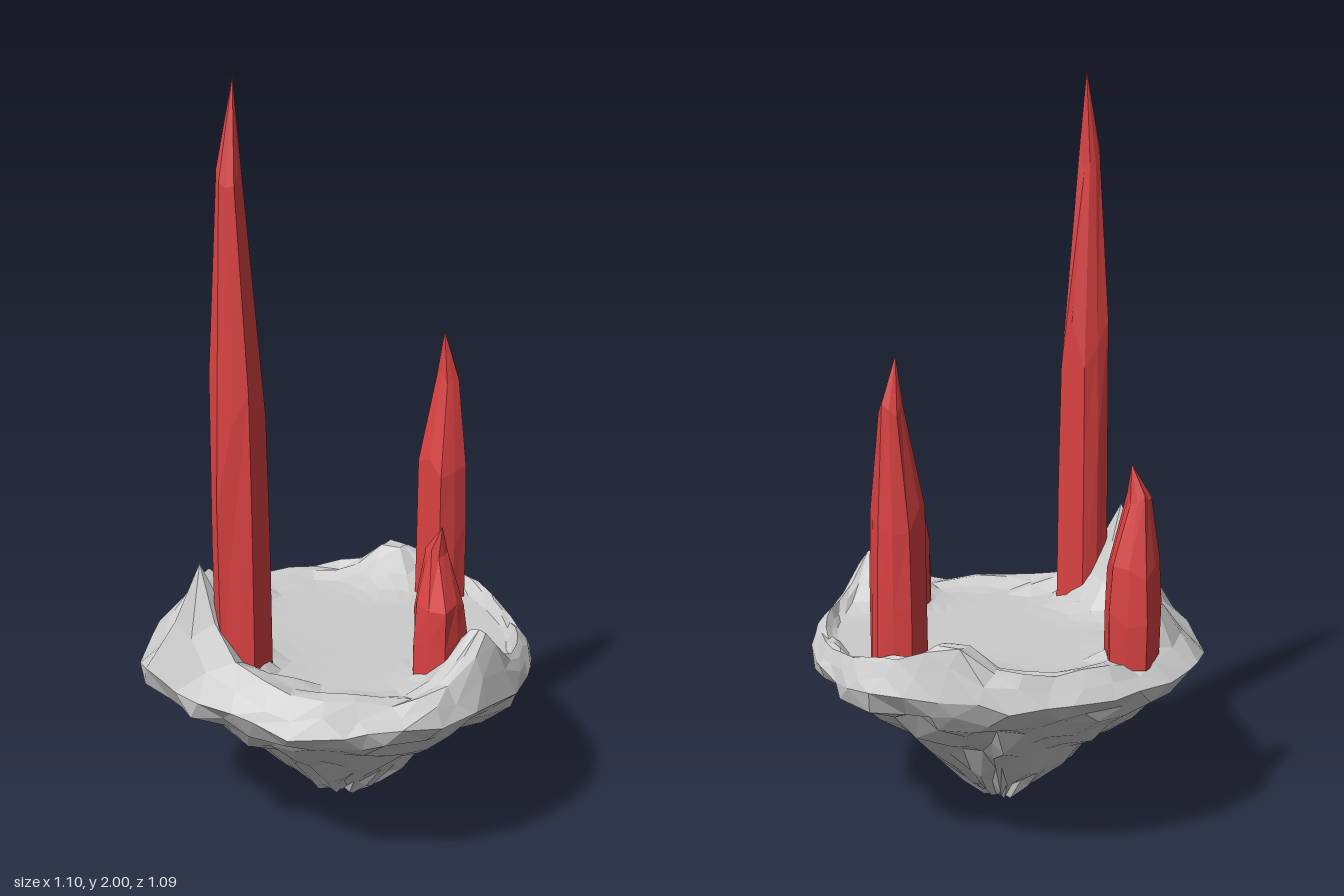
import * as THREE from 'three';

// Small seeded noise in the range -1..1
function seeded(seed) {
  let s = seed;
  return () => {
    s = (s * 16807) % 2147483647;
    return (s / 2147483647) * 2 - 1;
  };
}

// Joins rings of equal length (bottom to top) into one closed faceted skin
function skin(rings, staggered) {
  const n = rings[0].length, pos = [], index = [];
  rings.forEach(r => r.forEach(p => pos.push(p.x, p.y, p.z)));
  for (let i = 0; i < rings.length - 1; i++) {
    for (let j = 0; j < n; j++) {
      const k = (j + 1) % n;
      const a = i * n + j, b = i * n + k, c = a + n, d = b + n;
      if (staggered && i % 2) index.push(a, c, d, a, d, b);
      else index.push(a, c, b, b, c, d);
    }
  }
  const g = new THREE.BufferGeometry();
  g.setAttribute('position', new THREE.Float32BufferAttribute(pos, 3));
  g.setIndex(index);
  const flat = g.toNonIndexed();
  flat.computeVertexNormals();
  return flat;
}

// Island outline radius every 15 degrees, from +x towards +z
const OUTLINE = [.55, .525, .515, .52, .53, .545, .54, .555, .565, .565, .58, .545,
  .55, .55, .57, .55, .555, .555, .54, .54, .53, .545, .53, .53];
function outline(a) {
  const t = ((a / (Math.PI * 2)) % 1 + 1) % 1 * 24;
  const i = Math.floor(t) % 24;
  return THREE.MathUtils.lerp(OUTLINE[i], OUTLINE[(i + 1) % 24], t - Math.floor(t));
}

// Rock mounds on the rim: x, z, height, spread
const MOUNDS = [
  [-.44, -.1, .28, .1], [0, .46, .15, .085], [-.16, -.42, .12, .08],
  [.43, -.2, .12, .09], [.48, -.05, .06, .06], [-.47, .1, .06, .08],
];
const mound = (x, z) => Math.max(...MOUNDS.map(([mx, mz, h, w]) =>
  h * Math.exp(-Math.pow(Math.hypot(x - mx, z - mz) / w, 1.6))));

function islandGeometry() {
  const rnd = seeded(41), N = 38, rings = [];
  const angle = j => ((j + (rings.length % 2) / 2) / N) * Math.PI * 2;
  const addRing = fn => rings.push(Array.from({ length: N }, (_, j) => fn(angle(j))));

  // Underside: share of the outline radius, height
  const under = [[0, 0], [.1, .025], [.22, .07], [.36, .14], [.49, .215], [.62, .27],
    [.75, .325], [.87, .37], [.95, .41]];
  under.forEach(([f, y], i) => addRing(a => {
    const w = i ? 1 : 0;
    const r = outline(a) * f * (1 + .045 * rnd() * w);
    const b = a + .05 * rnd() * w;
    return new THREE.Vector3(Math.cos(b) * r, y + .018 * rnd() * w, Math.sin(b) * r);
  }));

  // Rim: from the outline inwards to the edge of the flat plate
  const plateEdge = a => {
    const p = new THREE.Vector2(.1 + .4 * Math.cos(a), .07 + .4 * Math.sin(a));
    const limit = outline(p.angle()) * .86;
    return p.length() > limit ? p.setLength(limit) : p;
  };
  const rim = [[0, .445], [.2, .475], [.4, .5], [.6, .5], [.8, .49], [1, .48]];
  rim.forEach(([s, y]) => addRing(a => {
    const b = a + .05 * rnd() * (1 - s), r = outline(b) * (1 + .01 * rnd());
    const e = plateEdge(a);
    const x = THREE.MathUtils.lerp(Math.cos(b) * r, e.x, s);
    const z = THREE.MathUtils.lerp(Math.sin(b) * r, e.y, s);
    const rough = s < 1 ? .014 * rnd() : 0;
    return new THREE.Vector3(x, y + rough + mound(x, z) * Math.min(1, .25 + s * 2.5), z);
  }));

  // Flat plate, lifted only where a mound runs into it
  [.85, .7, .5, 0].forEach(f => addRing(a => {
    const e = plateEdge(a);
    const x = .1 + (e.x - .1) * f, z = .07 + (e.y - .07) * f;
    return new THREE.Vector3(x, .48 + (f > .6 ? mound(x, z) : 0), z);
  }));
  return skin(rings, true);
}

// Ridged crystal of height h, its steeper shoulder turned towards local +x
function crystalGeometry(h, seed) {
  const rnd = seeded(seed), N = 10;
  const ridge = Array.from({ length: N }, (_, j) => (j % 2 ? .066 : .077) + .005 * rnd());
  // Share of the height, share of the radius, shift in x, height jitter
  const rows = [[0, 0, 0, 0], [0, 1, 0, 0], [.26, 1, 0, .05], [.5, .93, 0, .05],
    [.83, .42, .014, .03], [1, 0, -.006, 0]];
  return skin(rows.map(([t, f, dx, jit]) => ridge.map((r, j) => {
    const a = (j / N) * Math.PI * 2;
    const k = r * f * (1 + (jit ? .07 * rnd() : 0));
    return new THREE.Vector3(Math.cos(a) * k + dx, h * (t + jit * rnd()), Math.sin(a) * k);
  })), false);
}

export function createModel() {
  const model = new THREE.Group();
  const rock = new THREE.MeshStandardMaterial({ color: 0xcccccc, flatShading: true });
  const red = new THREE.MeshStandardMaterial({ color: 0xd94141, flatShading: true });

  const island = new THREE.Mesh(islandGeometry(), rock);
  island.name = 'floatingIsland';
  model.add(island);

  // Crystals: name, x, z, base height, top height, turn
  [
    ['tallCrystal', -.37, -.005, .48, 2, Math.PI],
    ['leftCrystal', .42, -.01, .475, 1.28, 0],
    ['frontCrystal', -.018, .367, .475, .89, Math.PI / 2],
    ['backCrystal', -.005, -.433, .48, 1, Math.PI * .75],
  ].forEach(([name, x, z, y0, y1, turn], i) => {
    const crystal = new THREE.Mesh(crystalGeometry(y1 - y0, 1207 + i * 977), red);
    crystal.name = name;
    crystal.position.set(x, y0, z);
    crystal.rotation.y = turn;
    model.add(crystal);
  });
  return model;
}
